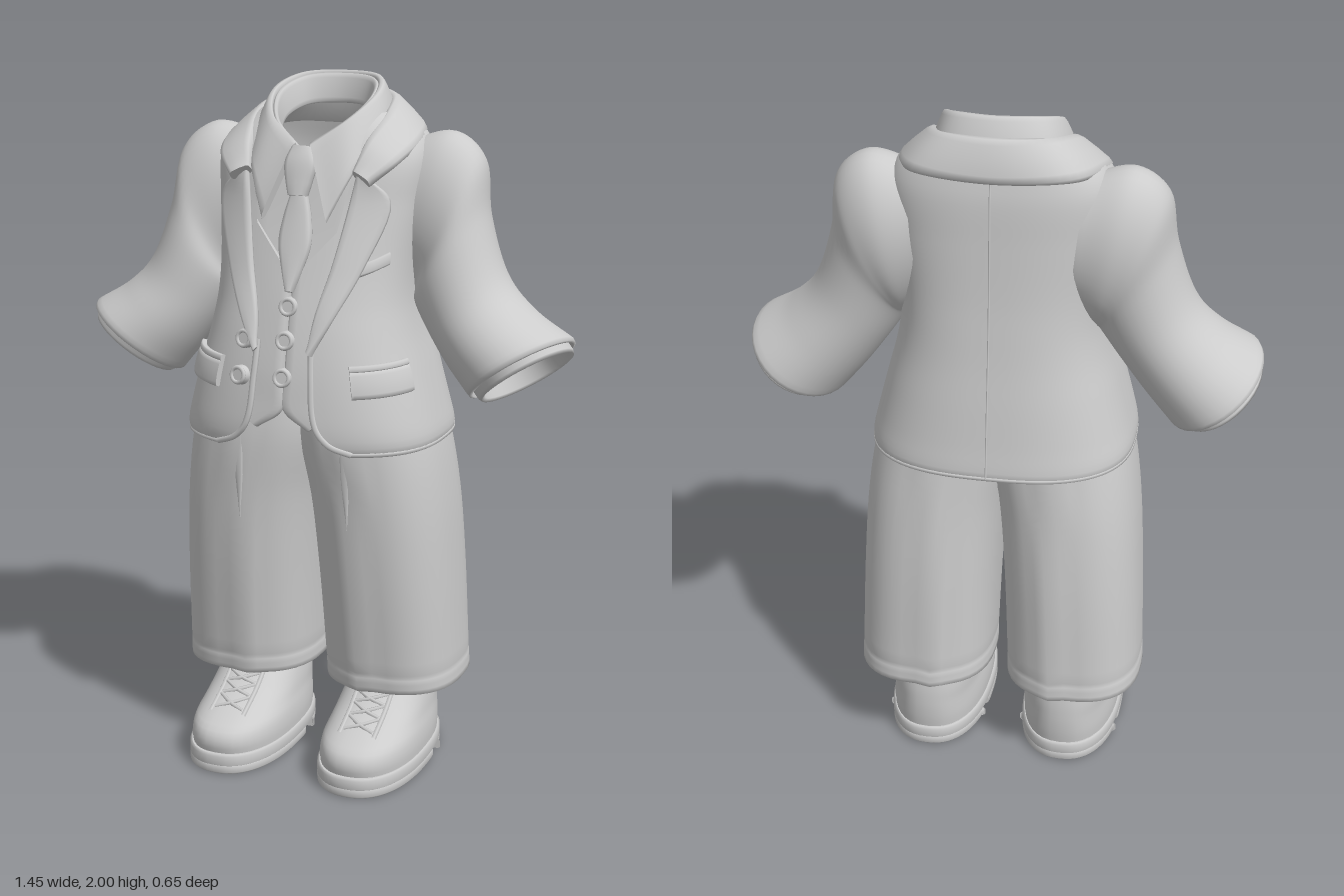
import * as THREE from 'three';

const V = (x, y, z) => new THREE.Vector3(x, y, z);
const cloth = new THREE.MeshStandardMaterial({ color: 0xcccccc, side: THREE.DoubleSide });
cloth.name = 'plain grey';

// Smooth lookup in a table whose first column is the key
function sample(table, k) {
  let i = 0;
  while (i < table.length - 2 && k > table[i + 1][0]) i++;
  const a = table[i], b = table[i + 1], p = table[i - 1] || a, q = table[i + 2] || b;
  const h = b[0] - a[0], t = Math.min(1, Math.max(0, (k - a[0]) / h));
  return a.map((_, c) => {
    const m0 = (b[c] - p[c]) / (b[0] - p[0]) * h, m1 = (q[c] - a[c]) / (q[0] - a[0]) * h;
    const t2 = t * t, t3 = t2 * t;
    return (2 * t3 - 3 * t2 + 1) * a[c] + (t3 - 2 * t2 + t) * m0 + (3 * t2 - 2 * t3) * b[c] + (t3 - t2) * m1;
  });
}
const steps = (a, b, n) => Array.from({ length: n + 1 }, (_, i) => a + (b - a) * i / n);
const pow = (v, p) => Math.sign(v) * Math.abs(v) ** p;

// Skin a list of cross-sections
function loft(name, rings, closed = true, cap = false) {
  const n = rings[0].length, pos = [], idx = [];
  rings.forEach(r => r.forEach(v => pos.push(v.x, v.y, v.z)));
  for (let j = 0; j < rings.length - 1; j++)
    for (let i = 0; i < (closed ? n : n - 1); i++) {
      const a = j * n + i, b = j * n + (i + 1) % n;
      idx.push(a, a + n, b, b, a + n, b + n);
    }
  if (cap) [0, rings.length - 1].forEach(j => {
    const c = rings[j].reduce((s, v) => s.add(v), V(0, 0, 0)).divideScalar(n), k = pos.length / 3;
    rings[j].forEach(v => pos.push(v.x, v.y, v.z));
    pos.push(c.x, c.y, c.z);
    for (let i = 0; i < n; i++) j ? idx.push(k + i, k + n, k + (i + 1) % n) : idx.push(k + i, k + (i + 1) % n, k + n);
  });
  const g = new THREE.BufferGeometry();
  g.setAttribute('position', new THREE.Float32BufferAttribute(pos, 3));
  g.setIndex(idx);
  g.computeVertexNormals();
  return mesh(name, g);
}
function mesh(name, g) {
  const m = new THREE.Mesh(g, cloth);
  m.name = name;
  return m;
}
const tube = (name, pts, r, n = 40) =>
  mesh(name, new THREE.TubeGeometry(new THREE.CatmullRomCurve3(pts), n, r, 6));

// Thick padded strip between two edge curves
function ribbon(name, a, b, thick, n = 24) {
  const A = new THREE.CatmullRomCurve3(a), B = new THREE.CatmullRomCurve3(b);
  const rings = steps(0, 1, n).map(t => {
    const p = A.getPoint(t), q = B.getPoint(t), mid = p.clone().add(q).multiplyScalar(0.5);
    const half = p.clone().sub(q).multiplyScalar(0.5);
    const nor = A.getTangent(t).add(B.getTangent(t)).cross(half).normalize();
    return steps(0, Math.PI * 2, 12).slice(1).map(w => mid.clone()
      .addScaledVector(half, pow(Math.cos(w), 0.6)).addScaledVector(nor, thick * pow(Math.sin(w), 0.6)));
  });
  return loft(name, rings, true, true);
}
// Rounded-rectangle ring at height y
const ring = (y, x0, x1, zf, zb, p = 0.8, n = 40) => steps(0, Math.PI * 2, n).slice(1).map(w =>
  V((x0 + x1) / 2 + (x1 - x0) / 2 * pow(Math.sin(w), p), y, (zf + zb) / 2 + (zf - zb) / 2 * pow(Math.cos(w), p)));

// Jacket body: height, half width, front z, back z, front edge x
const body = [
  [1.0, 0.375, 0.295, -0.32, 0.2], [1.025, 0.375, 0.3, -0.318, 0.14], [1.08, 0.362, 0.3, -0.31, 0.1],
  [1.2, 0.33, 0.286, -0.295, 0.085], [1.31, 0.3, 0.264, -0.28, 0.08], [1.4, 0.285, 0.238, -0.27, 0.085],
  [1.5, 0.285, 0.208, -0.26, 0.1], [1.66, 0.3, 0.162, -0.25, 0.13], [1.78, 0.305, 0.132, -0.243, 0.15],
  [1.85, 0.27, 0.09, -0.23, 0.15], [1.9, 0.2, 0.045, -0.22, 0.13]];
const P = 0.75;
function onBody(phi, y, off = 0) {
  const [, hw, zf, zb] = sample(body, y);
  return V((hw + off) * pow(Math.sin(phi), P), y, (zf + zb) / 2 + ((zf - zb) / 2 + off) * pow(Math.cos(phi), P));
}
function angleAt(x, y) {
  const s = Math.min(1, Math.abs(x) / sample(body, y)[1]);
  return Math.sign(x) * Math.asin(s ** (1 / P));
}
const front = (x, y, off = 0) => { const v = onBody(angleAt(x, y), y, off); v.x = x; return v; };
const fronts = (pts, off) => pts.map(([x, y]) => front(x, y, off));

function jacketBody() {
  const g = new THREE.Group();
  g.name = 'jacketBody';
  const row = y => {
    const a = angleAt(sample(body, y)[4], y);
    return steps(a, Math.PI * 2 - a, 64).map(w => onBody(w, y));
  };
  const rows = steps(1, 1.9, 48).map(row);
  const inner = (k, dy) => rows[0].map(v => V(v.x * k, v.y + dy, v.z * k));
  g.add(loft('jacketShell', [inner(0.9, 0.03), inner(0.94, 0.008), inner(0.975, -0.006), ...rows], false));
  g.add(tube('hemRoll', inner(0.985, 0), 0.008, 90));
  g.add(tube('backSeam', steps(1, 1.85, 12).map(y => onBody(Math.PI, y, 0)), 0.003));
  return g;
}

// Sleeve: key, upper point xy, lower point xy, z centre, z radius, front setback
const arm = [
  [0, 0.24, 1.825, 0.2, 1.45, -0.095, 0.12, 0], [1, 0.36, 1.85, 0.25, 1.41, -0.092, 0.136, 0],
  [2, 0.45, 1.78, 0.265, 1.39, -0.078, 0.138, 0], [3, 0.475, 1.63, 0.275, 1.37, -0.055, 0.143, 0],
  [4, 0.53, 1.47, 0.32, 1.3, -0.04, 0.15, 0], [5, 0.61, 1.38, 0.385, 1.21, -0.03, 0.167, 0.02],
  [6, 0.715, 1.315, 0.455, 1.125, -0.025, 0.187, 0.04]];
function armRing(k, scale = 1, push = 0) {
  const [, ox, oy, ix, iy, zc, zr, set] = sample(arm, k);
  return steps(0, Math.PI * 2, 36).slice(1).map(w => {
    const c = Math.cos(w) * scale / 2, s = Math.sin(w) * scale, d = push - set * s;
    return V((ox + ix) / 2 + (ox - ix) * c + 0.6 * d, (oy + iy) / 2 + (oy - iy) * c - 0.8 * d, zc + zr * s);
  });
}

function sideParts() {
  const g = new THREE.Group();
  // Sleeve, turned-in rim and shirt cuff
  g.add(loft('sleeve', [...steps(0, 6, 42).map(k => armRing(k)), armRing(6, 0.99, 0.012), armRing(6, 0.94, 0.014), armRing(6, 0.88, -0.02)]));
  g.add(loft('shirtCuff', [armRing(6, 0.89, -0.02), armRing(6, 0.89, 0.028), armRing(6, 0.86, 0.038),
    armRing(6, 0.78, 0.032), armRing(6, 0.74, -0.03), armRing(6, 0.6, -0.09), armRing(6, 0.25, -0.12)], true, true));

  // Lapel, front edge and hip pocket
  g.add(ribbon('lapel', fronts([[0.16, 1.75], [0.145, 1.66], [0.115, 1.5], [0.085, 1.38], [0.075, 1.28]], 0.01),
    fronts([[0.2, 1.735], [0.25, 1.675], [0.2, 1.5], [0.14, 1.37], [0.085, 1.27]], 0.018), 0.012));
  g.add(tube('frontEdge', steps(1, 1.3, 14).map(y => front(sample(body, y)[4], y, -0.002)), 0.009));
  const flap = y => steps(0.5, 1.2, 8).map(a => onBody(a, y + 0.01 * a, 0.005));
  g.add(ribbon('pocketFlap', flap(1.225), flap(1.15), 0.012));
  g.add(ribbon('pocketWelt', flap(1.24), flap(1.222), 0.01));

  // Waistcoat half
  g.add(ribbon('waistcoat', fronts([[0, 1.46], [0, 1.35], [0, 1.2], [0, 1.11], [0.075, 1.055]], -0.02),
    fronts([[0.15, 1.63], [0.15, 1.4], [0.16, 1.25], [0.16, 1.15], [0.14, 1.1]], -0.025), 0.014));

  // Trouser leg: height, inner x, outer x, front z, back z
  const leg = [[0.25, 0.022, 0.425, 0.148, -0.293], [0.31, 0.022, 0.422, 0.155, -0.29], [0.6, 0.01, 0.41, 0.19, -0.282],
    [0.82, -0.008, 0.395, 0.21, -0.268], [1.0, -0.04, 0.368, 0.22, -0.25], [1.12, -0.04, 0.33, 0.215, -0.24]];
  const legRing = (y, grow = 0, at = y) => {
    const [, a, b, f, k] = sample(leg, y);
    return ring(at, a - grow, b + grow, f + grow, k - grow).map(v => {
      // pressed crease down the front and back
      v.z += Math.sign(v.z + 0.05) * 0.014 * Math.exp(-(((v.x - 0.17) / 0.025) ** 2));
      return v;
    });
  };
  g.add(loft('trouserLeg', [legRing(0.25, -0.03, 0.3), legRing(0.25, -0.025, 0.265), legRing(0.25, -0.012, 0.25),
    legRing(0.25, 0, 0.256), ...steps(0.27, 0.3, 2).map(y => legRing(y)), legRing(0.306, -0.004),
    ...steps(0.315, 1.12, 22).map(y => legRing(y))]));
  g.add(ribbon('pleat', [V(0.185, 1.02, 0.222), V(0.175, 0.9, 0.215), V(0.165, 0.76, 0.203)],
    [V(0.145, 1.02, 0.222), V(0.15, 0.9, 0.217), V(0.163, 0.76, 0.203)], 0.009));
  g.add(shoe());
  return g;
}

function shoe() {
  const g = new THREE.Group();
  g.name = 'shoe';
  // Upper: height, half width, front z, back z
  const upper = [[0.05, 0.142, 0.312, -0.24], [0.09, 0.143, 0.318, -0.245], [0.125, 0.139, 0.3, -0.247],
    [0.15, 0.133, 0.25, -0.247], [0.19, 0.127, 0.165, -0.245], [0.23, 0.118, 0.105, -0.24], [0.265, 0.104, 0.065, -0.235]];
  const rows = steps(0.05, 0.265, 18).map(y => {
    const [, w, f, b] = sample(upper, y);
    return ring(y, 0.205 - w, 0.205 + w, f, b, 0.85);
  });
  g.add(loft('shoeUpper', [...rows, ring(0.255, 0.125, 0.285, 0.04, -0.21), ring(0.2, 0.13, 0.28, 0.03, -0.2)], true, true));
  // Sole slices share one outline, cut to a range of z
  const slab = (name, y0, y1, zMin, zMax) => g.add(loft(name, [[y0, 0.006], [y0 + 0.006, 0], [y1 - 0.006, 0], [y1, 0.006]]
    .map(([y, d]) => ring(y, 0.055 + d, 0.355 - d, 0.328 - d, -0.252 + d, 0.85, 64).map(v => {
      v.z = Math.min(zMax, Math.max(zMin, v.z));
      return v;
    })), true, true));
  slab('soleWelt', 0.022, 0.06, -1, 1);
  slab('foreSole', 0, 0.03, -0.02, 1);
  slab('heel', 0, 0.03, -1, -0.08);
  // Crossed laces
  const f = k => sample(upper, k)[2] + 0.002;
  for (let i = 0; i < 4; i++) {
    const y = 0.16 + i * 0.024;
    for (const s of [-1, 1])
      g.add(tube('lace', [V(0.205 - s * 0.045, y, f(y) - 0.012), V(0.205, y + 0.012, f(y + 0.012)),
        V(0.205 + s * 0.045, y + 0.022, f(y + 0.022) - 0.012)], 0.006, 8));
  }
  for (const s of [-1, 1])
    g.add(tube('laceFacing', steps(0.15, 0.25, 5).map(y => V(0.205 + s * 0.052, y, f(y) - 0.018)), 0.008, 12));
  return g;
}

// Complete a half curve (front to centre back) on the other side
const around = half => [...half, ...half.slice(0, -1).reverse().map(v => V(-v.x, v.y, v.z))];

export function createModel() {
  const model = new THREE.Group();
  model.name = 'suit';
  model.add(jacketBody());
  const left = sideParts(), right = sideParts();
  left.name = 'leftSide';
  right.name = 'rightSide';
  right.scale.x = -1;
  model.add(left, right);

  // Jacket collar
  model.add(ribbon('jacketCollar',
    around([V(0.15, 1.75, 0.142), V(0.165, 1.825, 0.09), V(0.18, 1.9, -0.03), V(0.135, 1.94, -0.17), V(0, 1.95, -0.215)]),
    around([V(0.205, 1.725, 0.158), V(0.262, 1.775, 0.09), V(0.278, 1.82, -0.05), V(0.215, 1.84, -0.21), V(0, 1.835, -0.25)]), 0.02, 60));

  // Shirt collar with its inner stand, and shirt front
  const top = around([V(0.02, 1.825, 0.13), V(0.11, 1.89, 0.075), V(0.15, 1.955, -0.04), V(0.11, 1.99, -0.145), V(0, 1.997, -0.18)]);
  model.add(ribbon('shirtCollar', top,
    around([V(0.095, 1.62, 0.195), V(0.15, 1.75, 0.133), V(0.185, 1.86, -0.02), V(0.14, 1.9, -0.175), V(0, 1.91, -0.215)]), 0.012, 60));
  const stand = (k, drop) => top.map(v => V(v.x * k, v.y - drop, (v.z + 0.03) * k - 0.03));
  model.add(ribbon('collarStand', stand(0.94, 0.008), stand(0.84, 0.09), 0.008, 60));
  model.add(ribbon('shirtFront', fronts([[-0.15, 1.8], [-0.15, 1.6], [-0.12, 1.4]], -0.03),
    fronts([[0.15, 1.8], [0.15, 1.6], [0.12, 1.4]], -0.03), 0.012));

  // Tie
  const tie = (name, pts, off, thick) => model.add(ribbon(name,
    pts.map(([w, y]) => front(-w, y, off)), pts.map(([w, y]) => front(w, y, off)), thick));
  tie('tieKnot', [[0.03, 1.81], [0.045, 1.77], [0.036, 1.72], [0.026, 1.685]], 0.01, 0.024);
  tie('tieBlade', [[0.022, 1.695], [0.04, 1.63], [0.048, 1.56], [0.03, 1.49], [0.01, 1.43]], -0.002, 0.018);

  // Buttons: waistcoat column, then jacket pair
  for (const [x, y] of [[0, 1.39], [0, 1.3], [0, 1.2], [-0.115, 1.3], [-0.125, 1.2]]) {
    const b = new THREE.Group();
    b.name = 'button';
    const disc = mesh('buttonDisc', new THREE.CylinderGeometry(0.024, 0.028, 0.02, 20));
    disc.rotation.x = Math.PI / 2;
    const rim = mesh('buttonRim', new THREE.TorusGeometry(0.021, 0.006, 8, 20));
    rim.position.z = 0.009;
    b.add(disc, rim);
    b.position.copy(front(x, y, x ? 0.008 : -0.01));
    b.rotation.set(-0.15, x * 2, 0);
    model.add(b);
  }

  // Breast pocket on the left chest
  model.add(ribbon('breastPocket', fronts([[0.165, 1.505], [0.21, 1.52], [0.25, 1.54]], 0.004),
    fronts([[0.17, 1.47], [0.21, 1.485], [0.25, 1.505]], 0.004), 0.01));
  return model;
}
